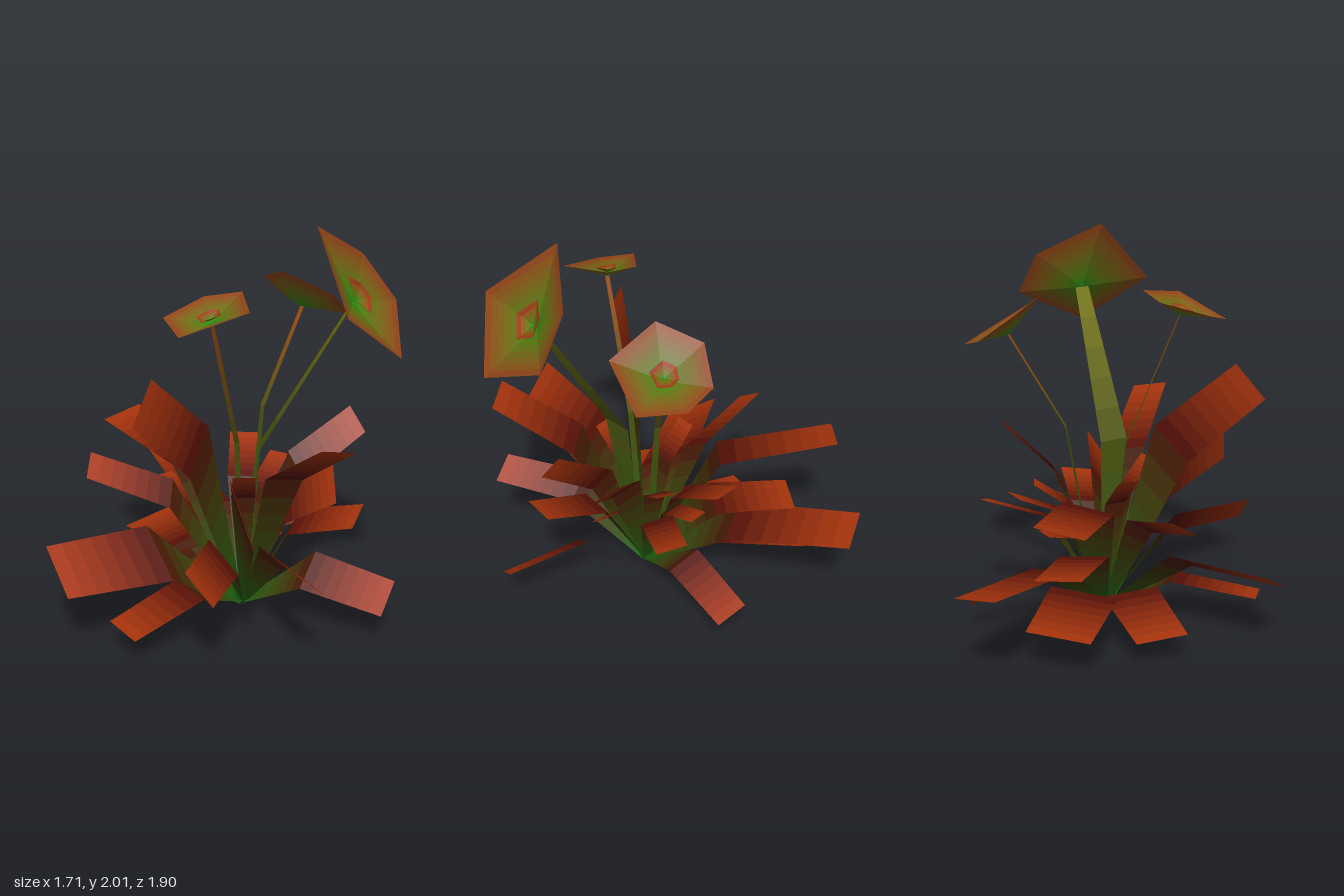
import * as THREE from 'three';

const V = (a) => new THREE.Vector3(...a);
const GREEN = 0x16600e, MAROON = 0x4a0a06, RUST = 0xa8340c;
const materials = new Map();

// One shared material per colour
function material(color) {
  const key = color.getHex();
  if (!materials.has(key)) {
    materials.set(key, new THREE.MeshStandardMaterial({ color, flatShading: true, side: THREE.DoubleSide }));
  }
  return materials.get(key);
}

// Quads joining two rows of points
function band(rowA, rowB, color, closed) {
  const pos = [], n = rowA.length;
  for (let i = 0; i < (closed ? n : n - 1); i++) {
    const j = (i + 1) % n;
    for (const p of [rowA[i], rowA[j], rowB[j], rowA[i], rowB[j], rowB[i]]) pos.push(p.x, p.y, p.z);
  }
  const g = new THREE.BufferGeometry();
  g.setAttribute('position', new THREE.Float32BufferAttribute(pos, 3));
  g.computeVertexNormals();
  return new THREE.Mesh(g, material(color));
}

// Surface through rows of points, its colour stepping from row to row
function loft(name, rows, colors, steps, closed = false) {
  const group = new THREE.Group();
  group.name = name;
  for (let r = 0; r < rows.length - 1; r++) {
    const at = (t) => rows[r].map((p, i) => p.clone().lerp(rows[r + 1][i], t));
    for (let s = 0; s < steps; s++) {
      const c = new THREE.Color(colors[r]).lerp(new THREE.Color(colors[r + 1]), (s + 0.5) / steps);
      const mesh = band(at(s / steps), at((s + 1) / steps), c, closed);
      mesh.name = name + 'Band';
      group.add(mesh);
    }
  }
  return group;
}

// Blade from the root, bending outward at the middle, ending in a straight tip edge.
// The bend can be given as [fraction of the reach, height].
function leaf([a, b, bend]) {
  const p = V(a), q = V(b);
  const tip = p.clone().add(q).multiplyScalar(0.5);
  const half = q.clone().sub(p).multiplyScalar(0.5);
  const root = new THREE.Vector3(0.08 + tip.x * 0.02, 0.02, 0.1 + tip.z * 0.02);
  const [reach, height] = bend ?? [0.45, 0.14 + 0.62 * tip.y];
  const mid = root.clone().lerp(tip, reach).setY(height);
  const row = (c, k) => [c.clone().addScaledVector(half, -k), c.clone().addScaledVector(half, k)];
  return loft('leaf', [row(root, 0.2), row(mid, 1.1), [p, q]], [GREEN, MAROON, RUST], 7);
}

// Short level-tipped leaf close to the centre, set by its angle, reach and height
function innerLeaf([angle, reach, height]) {
  const s = Math.sin(angle), c = Math.cos(angle);
  const corner = (w) => [0.08 + s * reach + c * w, height, 0.1 + c * reach - s * w];
  return leaf([corner(-0.055), corner(0.055)]);
}

// Flat stalk: centre points with half-widths along one direction
function stalk(points, widths, dir, color) {
  const rows = points.map((p, i) => [-1, 1].map((s) => V(p).addScaledVector(V(dir), s * widths[i])));
  return loft('stalk', rows, [GREEN, 0x4a5210, color], 5);
}

// Shallow cup of petals with a small cup inside it
function flower(center, rim) {
  const group = new THREE.Group();
  group.name = 'flower';
  const c = V(center), edge = rim.map(V);
  const mean = new THREE.Vector3();
  edge.forEach((p) => mean.addScaledVector(p, 1 / edge.length));
  const lift = mean.clone().sub(c);
  const start = edge.map(() => c.clone());
  group.add(loft('petalCup', [start, edge], [0x148a0c, 0x943c18], 8, true));
  const heart = c.clone().addScaledVector(lift, 0.25);
  const inner = edge.map((p) => p.clone().sub(mean).multiplyScalar(0.29).add(mean).addScaledVector(lift, -0.3));
  group.add(loft('innerCup', [edge.map(() => heart.clone()), inner], [0x148a0c, 0xa82018], 4, true));
  return group;
}

// Tip edge corners of the long leaves, by side
const BACK_LEAVES = [
  [[-0.53, 0.50, -0.85], [-0.31, 0.455, -0.95], [0.42, 0.39]],
  [[-0.72, 0.79, -0.49], [-0.55, 0.83, -0.66], [0.38, 0.71]],
  [[-0.60, 0.20, -0.39], [-0.38, 0.23, -0.62], [0.45, 0.25]],
  [[-0.50, 0.48, -0.38], [-0.36, 0.47, -0.56]],
  [[0.14, 0.19, -0.66], [0.27, 0.10, -0.60]],
  [[-0.02, 0.75, -0.45], [0.13, 0.75, -0.45]],
  [[0.38, 0.63, -0.48], [0.49, 0.58, -0.38]],
];
const SIDE_LEAVES = [
  [[-0.71, 0.77, -0.01], [-0.71, 0.68, 0.13]],
  [[-0.60, 0.13, -0.13], [-0.67, 0.15, 0.12]],
  [[-0.86, 0.44, 0.45], [-0.71, 0.28, 0.69]],
  [[0.62, 0.98, -0.24], [0.70, 0.87, -0.14]],
  [[0.48, 0.55, 0.03], [0.48, 0.50, 0.10]],
  [[0.53, 0.85, 0.26], [0.55, 0.68, 0.38]],
  [[0.69, 0.60, 0.18], [0.63, 0.56, 0.40]],
  [[0.85, 0.25, 0.32], [0.78, 0.13, 0.47]],
];
const FRONT_LEAVES = [
  [[-0.52, 0.15, 0.65], [-0.38, 0.12, 0.79], [0.45, 0.2]],
  [[-0.37, 1.17, 0.78], [-0.30, 1.36, 0.64]],
  [[-0.13, 0.53, 0.89], [0.00, 0.38, 0.93]],
  [[0.07, 0.95, 0.85], [0.18, 0.67, 0.95]],
  [[0.39, 0.50, 0.85], [0.51, 0.40, 0.82]],
  [[0.47, 1.07, 0.74], [0.63, 1.03, 0.63]],
];
const INNER_LEAVES = [[0.09, 0.285, 0.8], [-1.68, 0.28, 0.8], [2.65, 0.37, 0.72], [3.17, 0.37, 0.5]];

// Stalk line, half-widths, width direction, colour and petal rim of each flower
const FLOWERS = [
  {
    line: [[0.1, 0.01, 0.13], [0.17, 0.9, 0.21], [0.6, 1.64, 0.27]],
    widths: [0.03, 0.08, 0.04], dir: [0, 0, 1], color: 0x787810,
    rim: [[0.43, 2.0, 0.29], [0.65, 1.83, 0.02], [0.82, 1.6, 0], [0.83, 1.41, 0.4], [0.57, 1.66, 0.67]],
  },
  {
    line: [[0.09, 0.01, 0.08], [0.17, 1.02, -0.08], [0.36, 1.49, -0.3]],
    widths: [0.02, 0.015, 0.013], dir: [0.7, 0, 0.7], color: 0x9a4a10,
    rim: [[0.26, 1.7, -0.16], [0.52, 1.59, -0.12], [0.6, 1.44, -0.37],
      [0.43, 1.45, -0.52], [0.26, 1.5, -0.52], [0.16, 1.63, -0.37]],
  },
  {
    line: [[0.08, 0.01, 0.12], [0.06, 0.92, 0.22], [-0.04, 1.58, 0.47]],
    widths: [0.02, 0.015, 0.011], dir: [0.9, 0, 0.4], color: 0x9a4a10,
    rim: [[-0.09, 1.67, 0.31], [0.09, 1.7, 0.33], [0.14, 1.66, 0.59], [-0.17, 1.56, 0.67], [-0.26, 1.61, 0.5]],
  },
];

export function createModel() {
  const plant = new THREE.Group();
  plant.name = 'plant';

  const leaves = new THREE.Group();
  leaves.name = 'leaves';
  for (const side of [BACK_LEAVES, SIDE_LEAVES, FRONT_LEAVES]) side.forEach((tip) => leaves.add(leaf(tip)));
  INNER_LEAVES.forEach((spec) => leaves.add(innerLeaf(spec)));
  plant.add(leaves);

  for (const f of FLOWERS) {
    plant.add(stalk(f.line, f.widths, f.dir, f.color));
    plant.add(flower(f.line[2], f.rim));
  }
  return plant;
}
